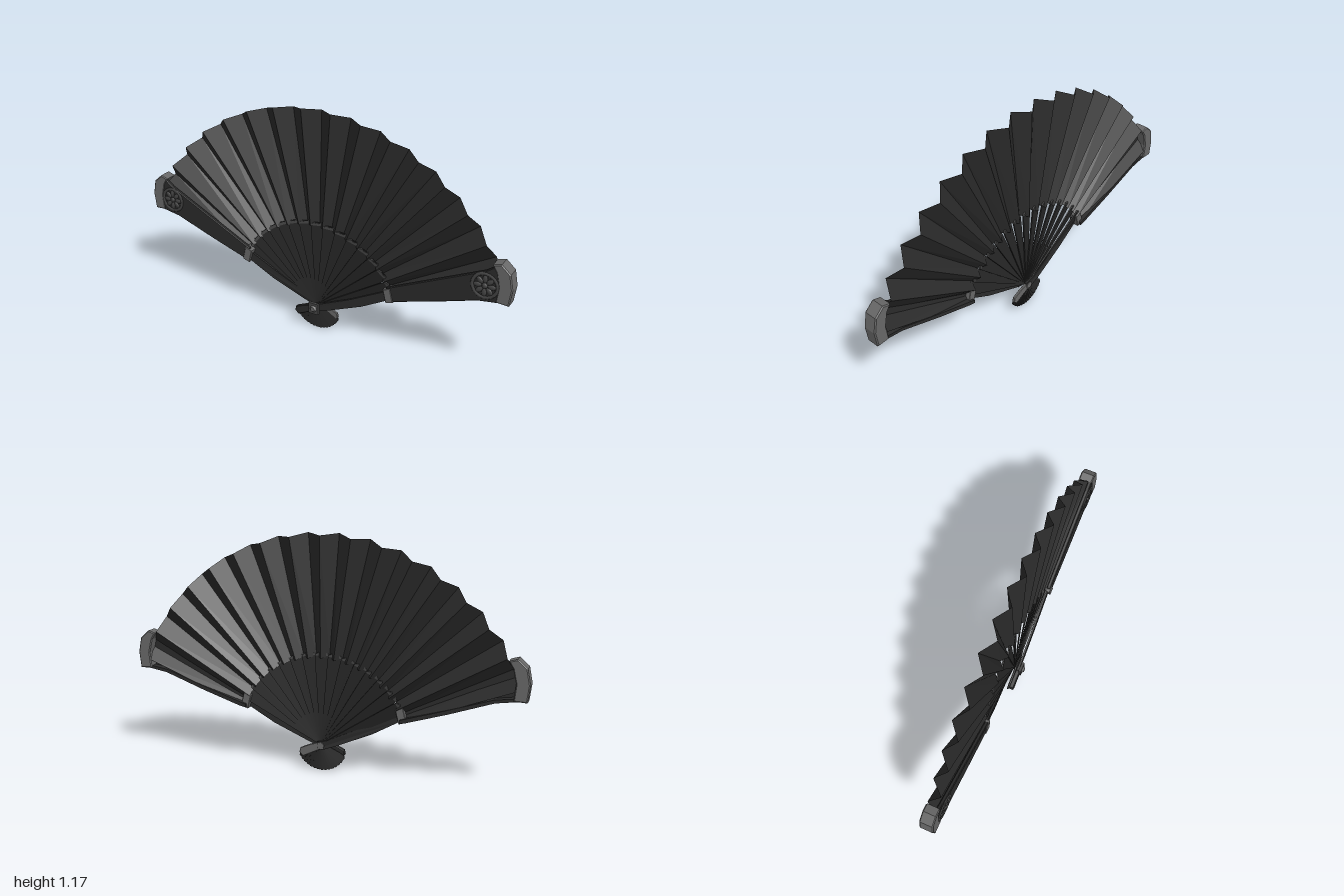
import * as THREE from 'three';

const PIVOT = 0.13;
const STEP = THREE.MathUtils.degToRad(4.3); // angle of one pleat face

function material(name, color, side = THREE.FrontSide) {
  const m = new THREE.MeshStandardMaterial({ color, side });
  m.name = name;
  return m;
}

// Flat plate cut from an outline, between two depths, with an optional bevel
function plate(points, z0, z1, bevel = 0) {
  const shape = new THREE.Shape(points.map(([x, y]) => new THREE.Vector2(x, y)));
  const g = new THREE.ExtrudeGeometry(shape, {
    depth: z1 - z0 - 2 * bevel,
    bevelEnabled: bevel > 0,
    bevelThickness: bevel, bevelSize: bevel, bevelOffset: -bevel, bevelSegments: 1,
  });
  return g.translate(0, 0, z0 + bevel);
}

function add(parent, name, geometry, mat) {
  const mesh = new THREE.Mesh(geometry, mat);
  mesh.name = name;
  parent.add(mesh);
  return mesh;
}

// Pleated leaf: odd folds stand forward, even folds lie back
function leafGeometry() {
  const fold = (j, outer) => {
    const front = Math.abs(j) % 2 === 1;
    const a = j * STEP;
    const r = outer ? (front ? 1.042 : 1.03) : (front ? 0.448 : 0.438);
    const z = outer ? (front ? 0.017 : -0.042) : (front ? 0.008 : -0.026);
    return [r * Math.sin(a), PIVOT + r * Math.cos(a), z];
  };
  const pos = [];
  for (let j = -16; j < 16; j++) {
    const a = fold(j, false), b = fold(j + 1, false);
    const c = fold(j + 1, true), d = fold(j, true);
    pos.push(...a, ...b, ...c, ...a, ...c, ...d);
  }
  const g = new THREE.BufferGeometry();
  g.setAttribute('position', new THREE.Float32BufferAttribute(pos, 3));
  g.computeVertexNormals();
  return g;
}

// Mirrors the right half of an outline to close it
const symmetric = right => [...right, ...right.map(([x, y]) => [-x, y]).reverse()];

export function createModel() {
  const fan = new THREE.Group();
  fan.name = 'foldingFan';

  const leafMat = material('leaf black', 0x2b2b2b, THREE.DoubleSide);
  const stickMat = material('stick black', 0x262626);
  const guardMat = material('guard charcoal', 0x2b2b2b);
  const ornamentMat = material('ornament dark grey', 0x444444);
  const metalMat = material('metal grey', 0x686868);

  add(fan, 'pleatedLeaf', leafGeometry(), leafMat);

  // Sticks with rounded tails and trimmed ends, layered from back to front
  const sticks = new THREE.Group();
  sticks.name = 'sticks';
  fan.add(sticks);
  const stickGeo = plate(symmetric([[0.005, -0.13], [0.014, -0.122], [0.016, -0.1],
    [0.009, -0.03], [0.009, 0.03], [0.034, 0.43], [0.034, 0.455], [0.014, 0.466]]), -0.003, 0.003);
  const trimGeo = plate(symmetric([[0.033, 0.45], [0.034, 0.456], [0.014, 0.468],
    [0.013, 0.462]]), -0.004, 0.004);
  for (let i = -7; i <= 7; i++) {
    const stick = new THREE.Group();
    stick.name = 'stick';
    stick.position.set(0, PIVOT, -0.007 + i * 0.0009);
    stick.rotation.order = 'ZYX';
    stick.rotation.set(0, 0.26, -i * 2 * STEP);
    add(stick, 'stickBlade', stickGeo, stickMat);
    add(stick, 'stickTrim', trimGeo, ornamentMat);
    sticks.add(stick);
  }

  for (const s of [1, -1]) {
    const guard = new THREE.Group();
    guard.name = s > 0 ? 'leftGuard' : 'rightGuard';
    fan.add(guard);
    const side = pts => pts.map(([x, y]) => [x * s, y]);

    // Broad outer blade
    add(guard, 'guardBlade', plate(side([[0.39, 0.29], [0.43, 0.296], [0.63, 0.36],
      [0.845, 0.434], [0.96, 0.452], [0.965, 0.54], [0.91, 0.625], [0.87, 0.595], [0.39, 0.362]]),
      0.002, 0.022, 0.004), guardMat);

    // Closed lower edge of the blade
    add(guard, 'guardEdge', plate(side([[0.4, 0.288], [0.43, 0.294], [0.63, 0.357],
      [0.845, 0.432], [0.96, 0.45], [0.96, 0.465], [0.84, 0.447], [0.62, 0.374], [0.4, 0.305]]),
      -0.036, 0.012), guardMat);

    // Metal tip
    add(guard, 'tipCap', plate(side([[0.94, 0.645], [0.9, 0.633], [0.92, 0.6], [0.936, 0.53],
      [0.927, 0.45], [0.99, 0.447], [1, 0.53], [0.985, 0.605]]), -0.045, 0.024, 0.005), metalMat);

    // Clasp between arm and blade
    add(guard, 'clasp', plate(side([[0.43, 0.292], [0.393, 0.28], [0.375, 0.35], [0.412, 0.364]]),
      -0.024, 0.025, 0.002), metalMat);

    // Narrow arm, one before and one behind the sticks at the pivot
    const arm = plate(side([[0.41, 0.297], [0.26, 0.213], [0.07, 0.132], [0.015, 0.112],
      [-0.02, 0.112], [-0.02, 0.148], [0.03, 0.158], [0.2, 0.236], [0.39, 0.338]]), -0.005, 0.005);
    const p = arm.attributes.position;
    for (let i = 0; i < p.count; i++) {
      const t = THREE.MathUtils.clamp((Math.abs(p.getX(i)) - 0.05) / 0.33, 0, 1);
      p.setZ(i, p.getZ(i) + THREE.MathUtils.lerp(s > 0 ? 0.016 : -0.021, 0.006, t));
    }
    arm.computeVertexNormals();
    add(guard, 'guardArm', arm, guardMat);

    // Flared tail past the pivot
    const tail = side([[0, 0.112], [-0.05, 0.088], [-0.095, 0.066], [-0.113, 0.085],
      [-0.108, 0.108], [-0.06, 0.13], [0, 0.15]]);
    if (s > 0) add(guard, 'guardTail', plate(tail, 0.008, 0.03, 0.003), guardMat);
    else add(guard, 'guardTail', plate(tail, -0.026, -0.012, 0.002), metalMat);

    // Round flower ornament near the tip
    const flower = new THREE.Group();
    flower.name = 'flowerOrnament';
    flower.position.set(0.872 * s, 0.52, 0.022);
    guard.add(flower);
    add(flower, 'ring', new THREE.TorusGeometry(0.06, 0.008, 6, 20), ornamentMat)
      .scale.z = 0.7;
    for (let k = 0; k < 8; k++) {
      const a = k * Math.PI / 4;
      const petal = add(flower, 'petal', new THREE.SphereGeometry(0.016, 8, 6), ornamentMat);
      petal.scale.set(1.3, 0.75, 0.35);
      petal.position.set(0.034 * Math.cos(a), 0.034 * Math.sin(a), 0);
      petal.rotation.z = a;
    }
    add(flower, 'flowerCentre', new THREE.SphereGeometry(0.014, 8, 6), ornamentMat)
      .scale.z = 0.6;
  }

  // Rivet: square washer, round head and back button
  add(fan, 'rivetWasher', new THREE.BoxGeometry(0.055, 0.06, 0.014)
    .translate(0, PIVOT, 0.03), ornamentMat);
  add(fan, 'rivetHead', new THREE.CylinderGeometry(0.012, 0.02, 0.012, 8)
    .rotateX(Math.PI / 2).translate(0, PIVOT, 0.041), metalMat);
  add(fan, 'rivetBack', new THREE.CylinderGeometry(0.018, 0.018, 0.006, 8)
    .rotateX(Math.PI / 2).translate(0, PIVOT, -0.027), metalMat);

  return fan;
}
